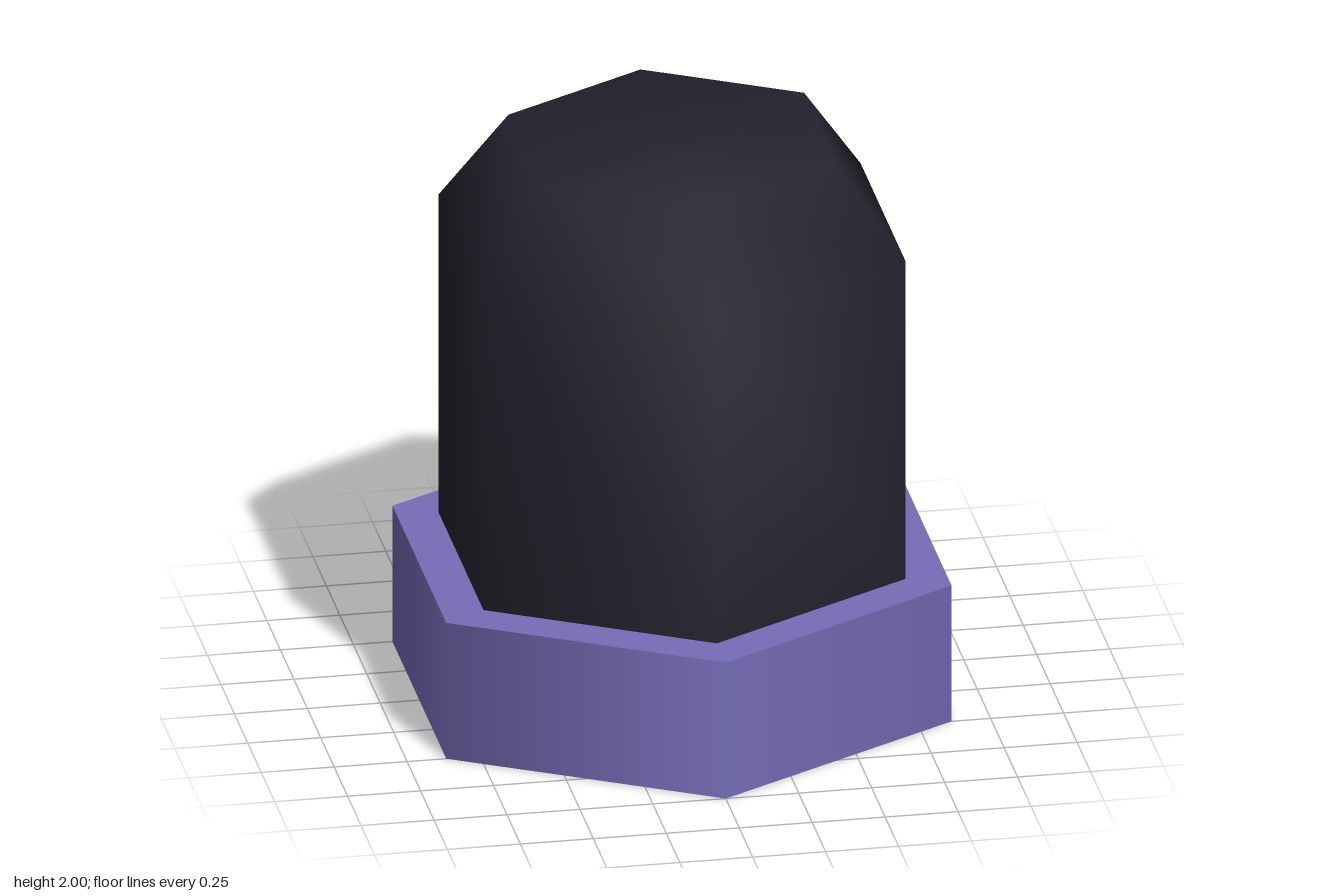
import * as THREE from 'three';

const SIDES = 6;

export function createModel() {
  const model = new THREE.Group();
  model.name = 'hexagonalButton';

  // Hexagonal collar at the foot, smooth around its sides with crisp caps
  const collar = new THREE.Mesh(
    new THREE.CylinderGeometry(1, 1, 0.5, SIDES),
    new THREE.MeshStandardMaterial({ color: 0x766db8 })
  );
  collar.name = 'collar';
  collar.position.y = 0.25;
  model.add(collar);

  // Dark hexagonal cap with a chamfered top, smooth across all edges
  const profile = [[0.835, 0.5], [0.835, 1.67], [0.585, 2], [0, 2]]
    .map(([r, y]) => new THREE.Vector2(r, y));
  const cap = new THREE.Mesh(
    new THREE.LatheGeometry(profile, SIDES),
    new THREE.MeshStandardMaterial({ color: 0x26222e })
  );
  cap.name = 'cap';
  model.add(cap);

  return model;
}
